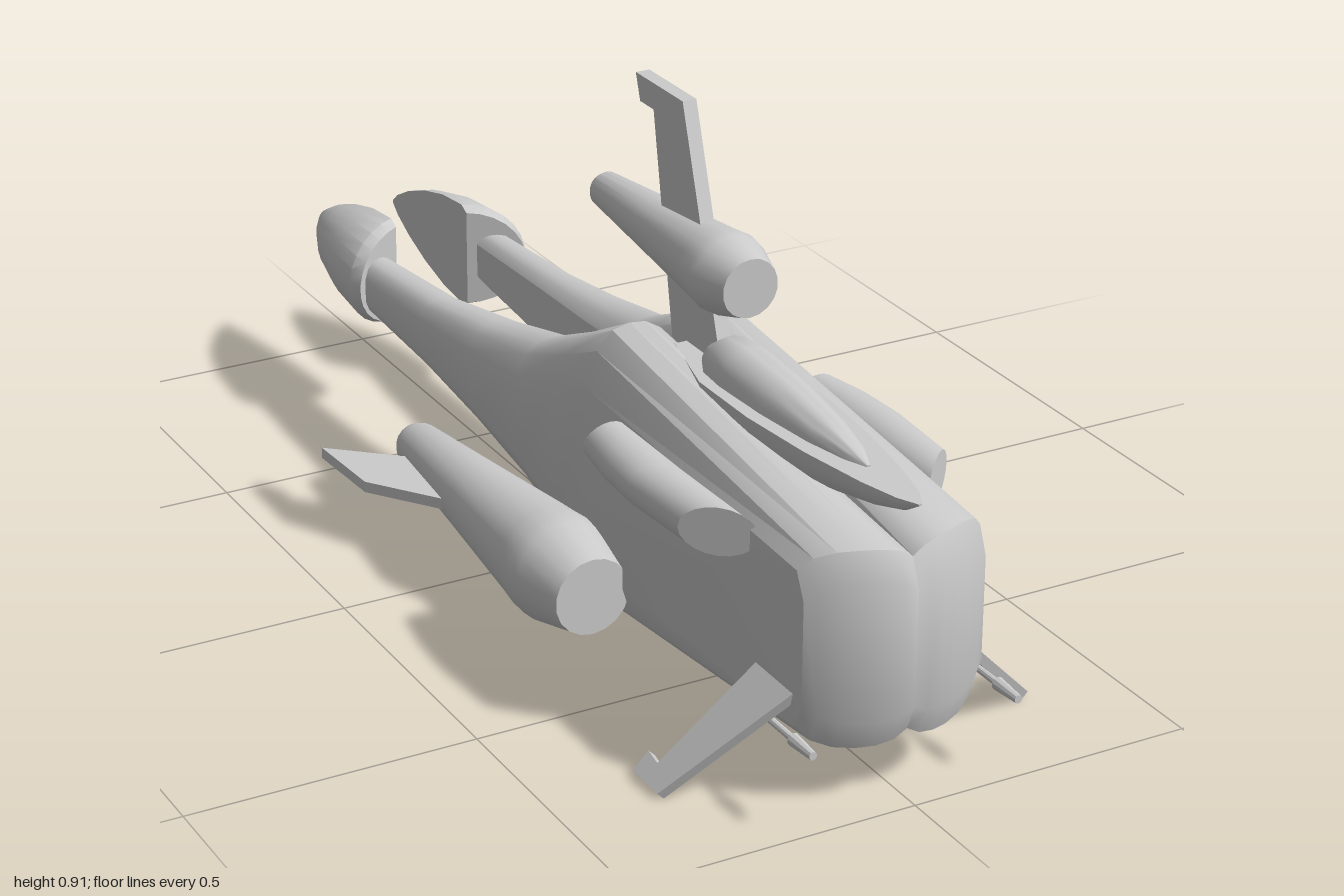
import * as THREE from 'three';
import { toCreasedNormals } from 'three/addons/utils/BufferGeometryUtils.js';

const material = new THREE.MeshStandardMaterial({ color: 0xcccccc });
const V = (x, y, z) => new THREE.Vector3(x, y, z);

// Skin through closed rings, ordered from +z to -z, each counterclockwise seen from +z
function loft(rings, crease = 0.6) {
  const n = rings[0].length, last = (rings.length - 1) * n, index = [];
  for (let i = 0; i < rings.length - 1; i++) {
    for (let j = 0; j < n; j++) {
      const a = i * n + j, b = i * n + (j + 1) % n, c = a + n, d = b + n;
      index.push(a, c, b, b, c, d);
    }
  }
  for (let j = 0; j < Math.floor((n - 1) / 2); j++) {
    const a = j, b = j + 1, c = n - 1 - j, d = n - 2 - j;
    index.push(a, b, d, a, d, c);
    index.push(last + a, last + d, last + b, last + a, last + c, last + d);
  }
  const geo = new THREE.BufferGeometry().setFromPoints(rings.flat());
  geo.setIndex(index);
  return toCreasedNormals(geo, crease);
}

// Elliptical arc in the xy plane; zAt gives the (possibly slanted) end plane
function arc(cx, cy, rx, ry, from, to, count, zAt) {
  return Array.from({ length: count }, (_, i) => {
    const t = from + (to - from) * i / (count - 1);
    return V(cx + rx * Math.cos(t), cy + ry * Math.sin(t), zAt(Math.cos(t), Math.sin(t)));
  });
}

// Flat plate: 2D outline laid on directions u and v through origin
function plate(points, thickness, origin, u, v) {
  const geo = new THREE.ExtrudeGeometry(
    new THREE.Shape(points.map(p => new THREE.Vector2(...p))),
    { depth: thickness, bevelEnabled: false });
  geo.translate(0, 0, -thickness / 2);
  const basis = new THREE.Matrix4().makeBasis(u, v, u.clone().cross(v)).setPosition(origin);
  return geo.applyMatrix4(basis);
}

// Turned body along z; profile holds [radius, z] with z rising
function turned(profile, x, y, segments = 18) {
  const geo = new THREE.LatheGeometry(profile.map(p => new THREE.Vector2(...p)), segments);
  geo.rotateX(Math.PI / 2).translate(x, y, 0);
  return toCreasedNormals(geo, 0.5);
}

// Mirror across x = 0, with the corner order turned round
function mirrored(source) {
  const geo = source.index ? source.toNonIndexed() : source.clone();
  for (const name of ['position', 'normal']) {
    const a = geo.attributes[name];
    for (let i = 0; i < a.count; i += 3) {
      const p = V().fromBufferAttribute(a, i + 1), q = V().fromBufferAttribute(a, i + 2);
      a.setXYZ(i + 1, q.x, q.y, q.z);
      a.setXYZ(i + 2, p.x, p.y, p.z);
    }
    for (let i = 0; i < a.count; i++) a.setX(i, -a.getX(i));
  }
  return geo;
}

// Arched section of one hull half
const ARCH = [[0, 0.6], [0.14, 0.2], [0.32, 0.03], [0.5, 0], [0.7, 0.07], [0.88, 0.38], [1, 1]];
function hullRing(z, x0, x1, yb, yt, drop, slant = 0) {
  const point = ([u, d], y, s) => V(x0 + (x1 - x0) * u, y + s * d * drop, z + slant * (1 - u * u));
  return [
    ...ARCH.map(p => point(p, yb, 1)),
    ...ARCH.map(p => point(p, yt, -1)).reverse(),
  ];
}

export function createModel() {
  const model = new THREE.Group();
  const add = (name, geo) => {
    const mesh = new THREE.Mesh(geo, material);
    mesh.name = name;
    model.add(mesh);
  };
  const pair = (name, geo) => {
    add(name + 'Left', geo);
    add(name + 'Right', mirrored(geo));
  };

  // Twin hulls, joined at the front and parting into tail booms
  pair('hull', loft([
    hullRing(0.925, 0, 0.162, 0.15, 0.385, 0.03, 0.065),
    hullRing(0.905, 0, 0.163, 0.1, 0.436, 0.035, 0.065),
    hullRing(0.23, 0, 0.16, 0.013, 0.527, 0.1),
    hullRing(0.11, 0.01, 0.16, 0.08, 0.465, 0.08),
    hullRing(-0.02, 0.03, 0.16, 0.137, 0.407, 0.06),
    hullRing(-0.2, 0.055, 0.16, 0.177, 0.37, 0.045),
    hullRing(-0.4, 0.078, 0.158, 0.205, 0.34, 0.035),
    hullRing(-0.7, 0.09, 0.155, 0.222, 0.318, 0.03),
  ]));

  // Half-ogive boom ends, flat on the inside
  const ogive = [[-0.68, 0.9, 0.05], [-0.7, 1, 0.045], [-0.78, 0.92, 0.02],
    [-0.86, 0.72, 0], [-0.93, 0.46, 0], [-0.98, 0.2, 0], [-1, 0.03, 0]];
  pair('boomTip', loft(ogive.map(([z, k, slant]) =>
    arc(0.072, 0.275, 0.108 * k, 0.1 * k, -Math.PI / 2, Math.PI / 2, 14, c => z + slant * c))));

  // Cockpit tub and canopy
  const tub = [[0.985, 0.003, 0.003], [0.95, 0.02, 0.025], [0.88, 0.038, 0.046],
    [0.75, 0.06, 0.072], [0.6, 0.074, 0.092], [0.45, 0.074, 0.095], [0.3, 0.035, 0.05]];
  add('cockpitTub', loft(tub.map(([z, w, h]) =>
    arc(0, 0.508, w, h, Math.PI, 2 * Math.PI, 14, () => z))));
  const canopy = [[0.84, 0.004, 0.004], [0.8, 0.02, 0.02], [0.72, 0.037, 0.036],
    [0.6, 0.05, 0.051], [0.48, 0.055, 0.058], [0.42, 0.05, 0.054], [0.38, 0.03, 0.03]];
  add('canopy', loft(canopy.map(([z, w, h]) =>
    arc(0, 0.507, w, h, 0, Math.PI, 14, () => z))));

  // Tail fin carrying the top engine
  add('tailFin', plate([[0.42, 0.48], [0.28, 0.915], [0.125, 0.915], [0.14, 0.87],
    [0.185, 0.87], [0.255, 0.48]], 0.025, V(0, 0, 0), V(0, 0, 1), V(0, 1, 0)));
  add('topEngine', turned([[0, -0.01], [0.025, -0.01], [0.031, 0], [0.048, 0.18],
    [0.065, 0.36], [0.07, 0.4], [0.068, 0.42], [0.05, 0.48], [0, 0.48]], 0, 0.665));

  // Lower engines with horizontal fins
  pair('lowerEngine', turned([[0, -0.315], [0.036, -0.315], [0.042, -0.3], [0.066, -0.05],
    [0.09, 0.19], [0.095, 0.23], [0.092, 0.26], [0.068, 0.355], [0, 0.355]], 0.215, 0.115));
  pair('engineFin', plate([[0.22, 0], [0.275, -0.075], [0.365, -0.2], [0.374, -0.36],
    [0.25, -0.25], [0.22, -0.22]], 0.02, V(0, 0.11, 0), V(1, 0, 0), V(0, 0, 1)));

  // Slant-ended side pods, bulging midway
  const podRing = (z, cx, rx, ry, sx, sy) =>
    arc(cx, 0.396, rx, ry, 0, 2 * Math.PI * 19 / 20, 20, (c, s) => z - sx * c + sy * s);
  pair('sidePod', loft([
    podRing(0.73, 0.198, 0.046, 0.041, 0.045, 0),
    podRing(0.55, 0.205, 0.049, 0.041, 0.01, 0),
    podRing(0.45, 0.202, 0.046, 0.041, 0, 0.01),
    podRing(0.355, 0.194, 0.038, 0.038, 0, 0.02),
  ]));

  // Diagonal front fins and the guns beside them
  const down = V(1, -1, 0).normalize();
  pair('frontFin', plate([[0.905, -0.01], [0.79, -0.01], [0.755, 0.215], [0.72, 0.21],
    [0.72, 0.25], [0.8, 0.25]], 0.016, V(0.158, 0.183, 0), V(0, 0, 1), down));
  pair('gun', turned([[0, 0.76], [0.006, 0.76], [0.006, 0.935], [0.011, 0.94],
    [0.007, 0.998], [0, 0.998]], 0.184, 0.136, 10));

  return model;
}
